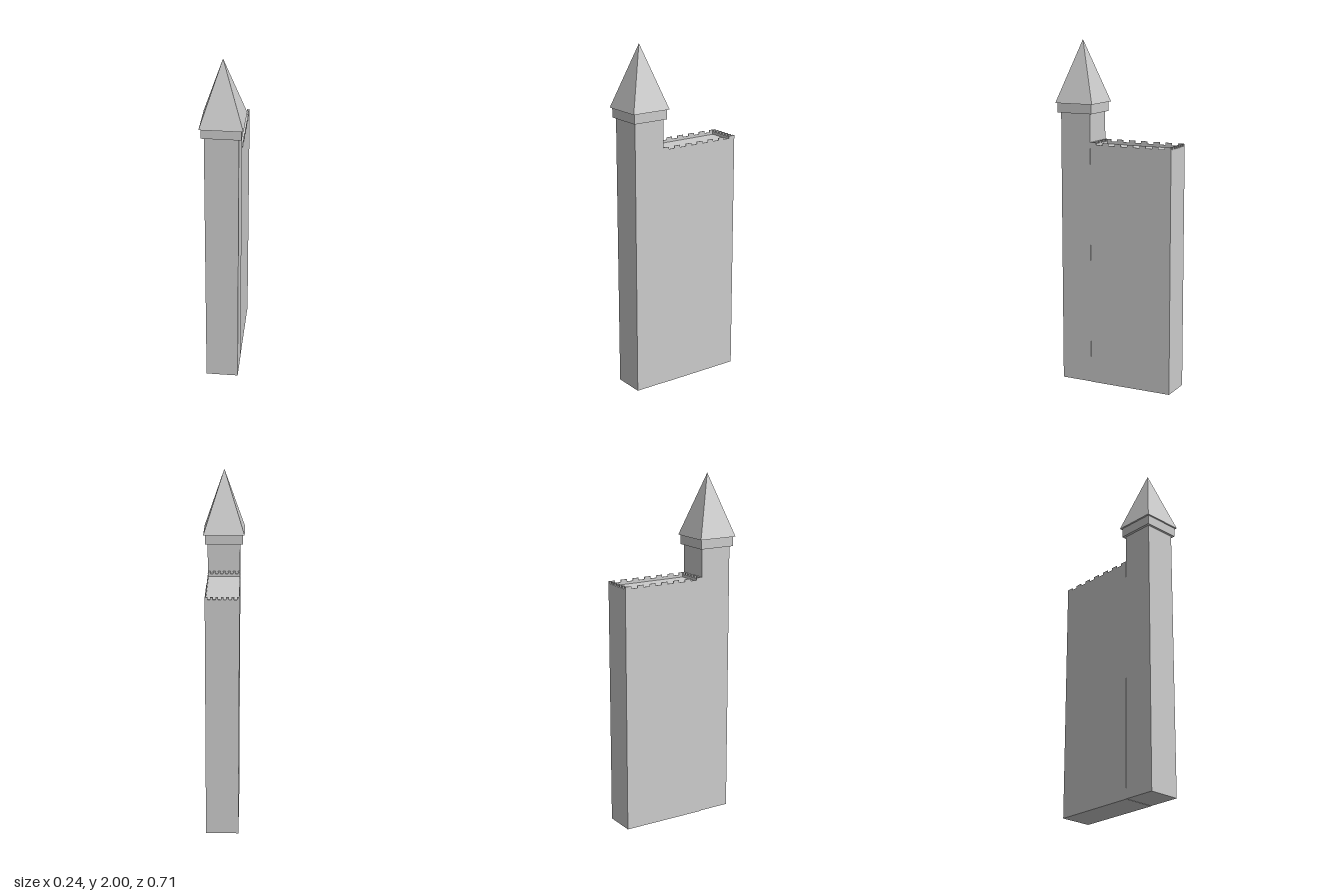
import * as THREE from 'three';

const material = new THREE.MeshStandardMaterial({ color: 0xcccccc, flatShading: true });

// Box given by its minimum and maximum corners
function block(parent, name, [x0, y0, z0], [x1, y1, z1]) {
  const mesh = new THREE.Mesh(new THREE.BoxGeometry(x1 - x0, y1 - y0, z1 - z0), material);
  mesh.name = name;
  mesh.position.set((x0 + x1) / 2, (y0 + y1) / 2, (z0 + z1) / 2);
  parent.add(mesh);
}

// Parapet: a low rail with evenly spaced merlons, running along x or z
function parapet(name, [x0, z0], [x1, z1], alongX) {
  const group = new THREE.Group();
  group.name = name;
  block(group, 'rail', [x0, 1.397, z0], [x1, 1.412, z1]);
  const merlons = 7;
  const cells = merlons * 2 - 1;
  const step = (alongX ? x1 - x0 : z1 - z0) / cells;
  for (let i = 0; i < cells; i += 2) {
    const a = i * step, b = a + step;
    if (alongX) block(group, 'merlon', [x0 + a, 1.412, z0], [x0 + b, 1.425, z1]);
    else block(group, 'merlon', [x0, 1.412, z0 + a], [x1, 1.425, z0 + b]);
  }
  return group;
}

export function createModel() {
  const model = new THREE.Group();
  model.name = 'castleKeep';

  // Main hall
  const left = 0.092, right = -0.095, back = -0.357, front = 0.146;
  block(model, 'hall', [right, 0, back], [left, 1.397, front]);

  // Battlements around the flat roof
  const thinX = 0.004, thickZ = 0.015;
  model.add(
    parapet('leftParapet', [left - thinX, back], [left, front], false),
    parapet('rightParapet', [right, back], [right + thinX, front], false),
    parapet('backParapet', [right, back], [left, back + thickZ], true),
    parapet('frontParapet', [right, front - thickZ], [left, front], true)
  );

  // Tower with collar
  const towerZ = 0.239;
  block(model, 'tower', [-0.093, 0.002, front], [0.093, 1.59, 0.333]);
  block(model, 'collar', [-0.108, 1.587, towerZ - 0.108], [0.108, 1.642, towerZ + 0.108]);

  // Four-sided spire
  const half = 0.118, height = 0.358;
  const spire = new THREE.Mesh(
    new THREE.ConeGeometry(half * Math.SQRT2, height, 4, 1).rotateY(Math.PI / 4), material);
  spire.name = 'spire';
  spire.position.set(0, 2 - height / 2, towerZ);
  model.add(spire);

  return model;
}
